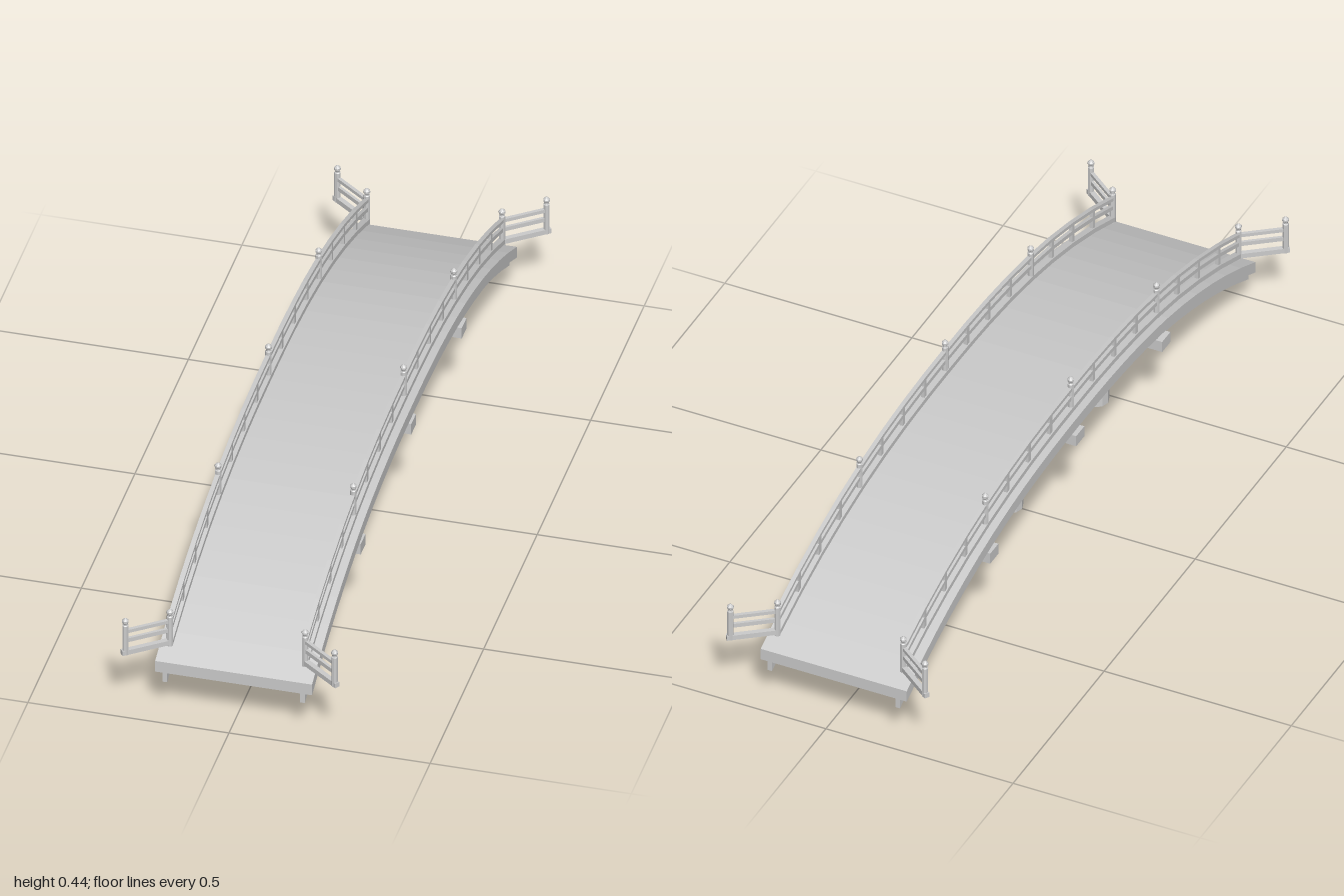
import * as THREE from 'three';

const mat = new THREE.MeshStandardMaterial({ color: 0xcccccc, flatShading: true, side: THREE.DoubleSide });
const END = 0.957, POST_Z = 0.92, RAIL_X = 0.168, PIER_X = -0.005;

// Arched profiles: height along z for the deck and for the foot of the railing
const deckY = z => 0.338 - 0.191 * Math.pow(Math.abs(z) / END, 2.4);
const railY = z => 0.338 - 0.16 * Math.pow(Math.abs(z) / POST_Z, 2.35);

function add(parent, name, geo, x = 0, y = 0, z = 0) {
  const mesh = new THREE.Mesh(geo, mat);
  mesh.name = name;
  mesh.position.set(x, y, z);
  parent.add(mesh);
  return mesh;
}

// Arched band between two offsets from a height curve, extruded across x
function archGeo(curve, low, high, width, half, segs) {
  const top = [], bottom = [];
  for (let i = 0; i <= segs; i++) {
    const z = -half + (2 * half * i) / segs;
    top.push(new THREE.Vector2(z, curve(z) + high));
    bottom.push(new THREE.Vector2(z, curve(z) + low));
  }
  const geo = new THREE.ExtrudeGeometry(new THREE.Shape([...bottom, ...top.reverse()]), { depth: width, bevelEnabled: false });
  geo.translate(0, 0, -width / 2);
  return geo.rotateY(-Math.PI / 2);
}

// Octagonal post with collar and pointed cap, foot at y = 0
const postGeo = new THREE.LatheGeometry([
  [0, 0], [0.008, 0], [0.008, 0.084], [0.006, 0.086], [0.006, 0.09],
  [0.0085, 0.093], [0.0085, 0.098], [0.005, 0.102], [0, 0.105],
].map(p => new THREE.Vector2(...p)), 8);

// Rail heights above the railing foot: [low, high, width]
const RAILS = [[0, 0.013, 0.016], [0.035, 0.046, 0.009], [0.062, 0.071, 0.011]];

function railing(side) {
  const g = new THREE.Group();
  g.name = side > 0 ? 'leftRailing' : 'rightRailing';
  const x = side * RAIL_X;

  RAILS.forEach(([low, high, w], i) => {
    add(g, ['bottomRail', 'middleRail', 'topRail'][i], archGeo(railY, low, high, w, POST_Z, 16), x);
  });

  // Main posts with three short balusters in each bay
  const mains = [-POST_Z, -0.47, 0, 0.47, POST_Z];
  mains.forEach((z, i) => {
    add(g, 'railPost', postGeo, x, railY(z) - 0.004, z);
    if (i === mains.length - 1) return;
    for (let k = 1; k < 4; k++) {
      const bz = z + ((mains[i + 1] - z) * k) / 4;
      add(g, 'baluster', new THREE.BoxGeometry(0.009, 0.062, 0.012), x, railY(bz) + 0.035, bz);
    }
  });

  // Flared wing panels at both ends
  for (const end of [1, -1]) {
    const wing = new THREE.Group();
    wing.name = 'wingPanel';
    const dx = side * 0.092, dz = end * 0.07, len = Math.hypot(dx, dz);
    wing.position.set(x, railY(POST_Z), end * POST_Z);
    wing.rotation.y = Math.atan2(-dz, dx);
    RAILS.forEach(([low, high, w], i) => {
      const extra = i === 0 ? 0.01 : 0;
      add(wing, 'wingRail', new THREE.BoxGeometry(len + extra, high - low, w * 0.8), (len + extra) / 2, (low + high) / 2, 0);
    });
    add(wing, 'wingPost', postGeo, len, 0, 0);
    g.add(wing);
  }
  return g;
}

export function createModel() {
  const model = new THREE.Group();
  model.name = 'archedBridge';

  // Deck and the two arched girders below it
  add(model, 'deck', archGeo(deckY, -0.031, 0, 0.39, END, 24));
  for (const side of [1, -1]) {
    add(model, 'girder', archGeo(deckY, -0.057, -0.03, 0.012, END, 24), side * 0.171);
    model.add(railing(side));
  }

  // Octagonal piers with crossbeams carrying the girders
  for (const z of [-0.472, 0, 0.472]) {
    const top = deckY(z) - 0.055;
    const pier = add(model, 'pier', new THREE.CylinderGeometry(0.033, 0.033, top - 0.004, 10), PIER_X, (top - 0.004) / 2, z);
    pier.rotation.y = Math.PI / 10;
    add(model, 'crossbeam', new THREE.BoxGeometry(0.386, 0.03, 0.045), 0, top - 0.015, z);
  }

  // Lengthwise tie joining the piers
  add(model, 'tieBeam', new THREE.BoxGeometry(0.022, 0.027, 0.944), PIER_X, 0.208, 0);

  return model;
}
